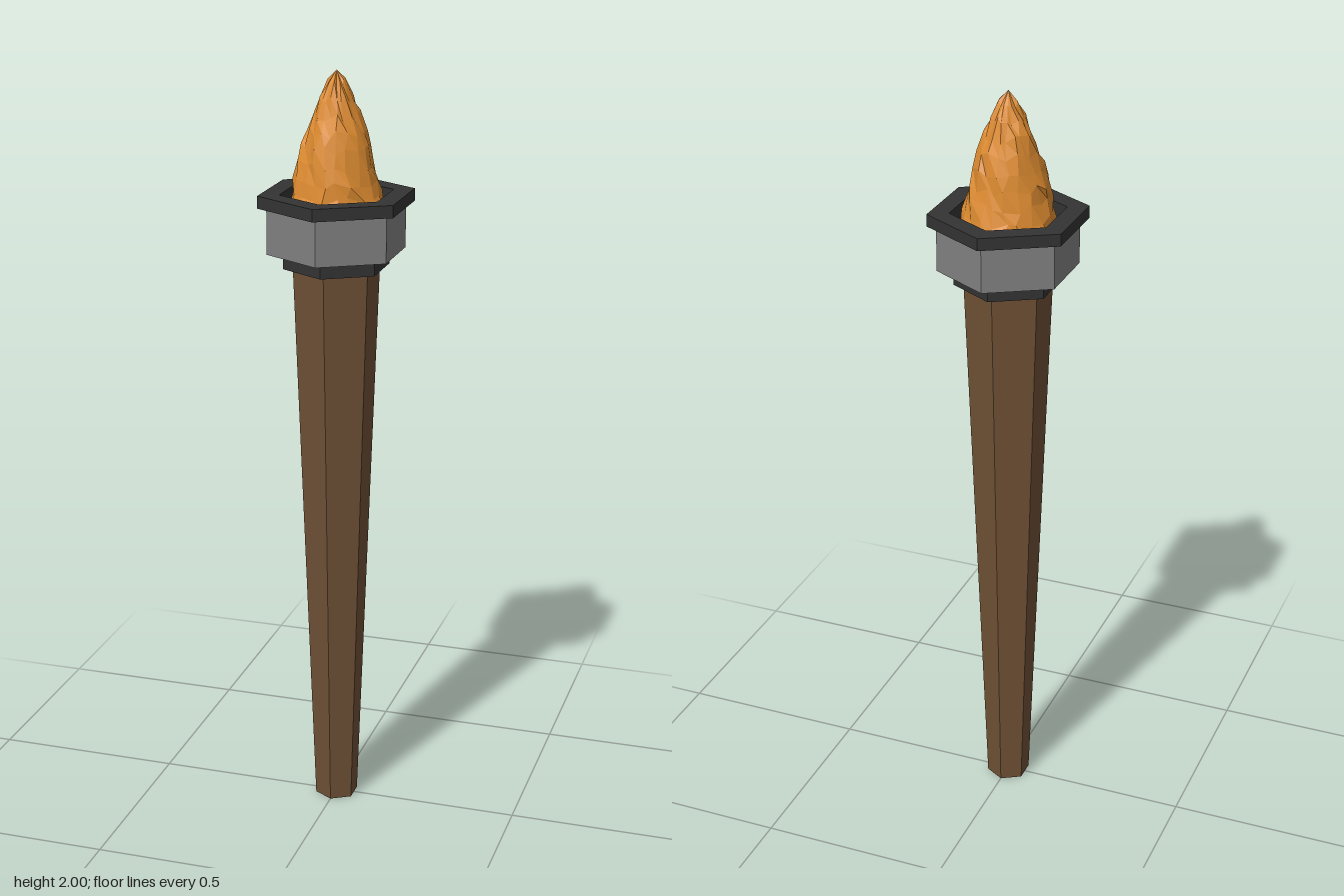
import * as THREE from 'three';

const wood = new THREE.MeshStandardMaterial({ name: 'wood', color: 0x6e5035 });
const iron = new THREE.MeshStandardMaterial({ name: 'darkIron', color: 0x333333 });
const steel = new THREE.MeshStandardMaterial({ name: 'greySteel', color: 0x808080 });
const fire = new THREE.MeshStandardMaterial({ name: 'flameOrange', color: 0xdb8a30 });

// Faceted mesh: one normal per face
function facetMesh(geometry, material, name) {
  const flat = geometry.toNonIndexed();
  flat.computeVertexNormals();
  const mesh = new THREE.Mesh(flat, material);
  mesh.name = name;
  return mesh;
}

// Six-sided turned part, corners on +z and -z; profile is [radius, y] with the outside running upward
function hexPart(name, material, profile) {
  const points = profile.map(([r, y]) => new THREE.Vector2(r, y));
  return facetMesh(new THREE.LatheGeometry(points, 6), material, name);
}

// Repeatable noise in -1..1
function noise(i, j) {
  const s = Math.sin(i * 127.1 + j * 311.7 + 4.2) * 43758.5453;
  return 2 * (s - Math.floor(s)) - 1;
}

// Ragged flame: rings shrinking to a tip, each vertex nudged
function flame() {
  const rings = [[0.128, 1.62], [0.123, 1.655], [0.114, 1.69], [0.105, 1.73], [0.096, 1.77],
    [0.087, 1.81], [0.073, 1.85], [0.058, 1.89], [0.043, 1.93], [0.024, 1.968], [0, 2.0]];
  const sides = 20;
  const geometry = new THREE.LatheGeometry(rings.map(([r, y]) => new THREE.Vector2(r, y)), sides);
  const pos = geometry.attributes.position;
  for (let k = 0; k < pos.count; k++) {
    const j = k % rings.length;
    const i = Math.floor(k / rings.length) % sides;
    const [r, y] = rings[j];
    if (r === 0) continue;
    const angle = (i + 0.3 * noise(i, j + 20)) * Math.PI * 2 / sides;
    const lick = Math.sin(angle * 5 + j * 0.6) * 0.05 * (j / rings.length);
    const radius = r * (1 + 0.055 * noise(i, j) + lick);
    const lift = j === 0 ? 0 : 0.011 * noise(i + 40, j);
    pos.setXYZ(k, radius * Math.sin(angle), y + lift, radius * Math.cos(angle));
  }
  return facetMesh(geometry, fire, 'flame');
}

export function createModel() {
  const torch = new THREE.Group();
  torch.name = 'torch';
  torch.add(
    // Tapered shaft
    hexPart('handle', wood, [[0, 0], [0.058, 0], [0.114, 1.5], [0, 1.5]]),
    // Collar under the cup
    hexPart('collar', iron, [[0, 1.5], [0.139, 1.5], [0.139, 1.54], [0, 1.54]]),
    // Cup body
    hexPart('cup', steel, [[0.12, 1.54], [0.181, 1.54], [0.181, 1.66]]),
    // Rim with the recess that holds the fire
    hexPart('rim', iron, [[0.17, 1.66], [0.204, 1.66], [0.204, 1.692], [0.148, 1.692], [0.148, 1.62], [0, 1.62]]),
    flame(),
  );
  // Underside of the cup
  torch.add(hexPart('cupBase', steel, [[0, 1.541], [0.18, 1.541]]));
  return torch;
}
